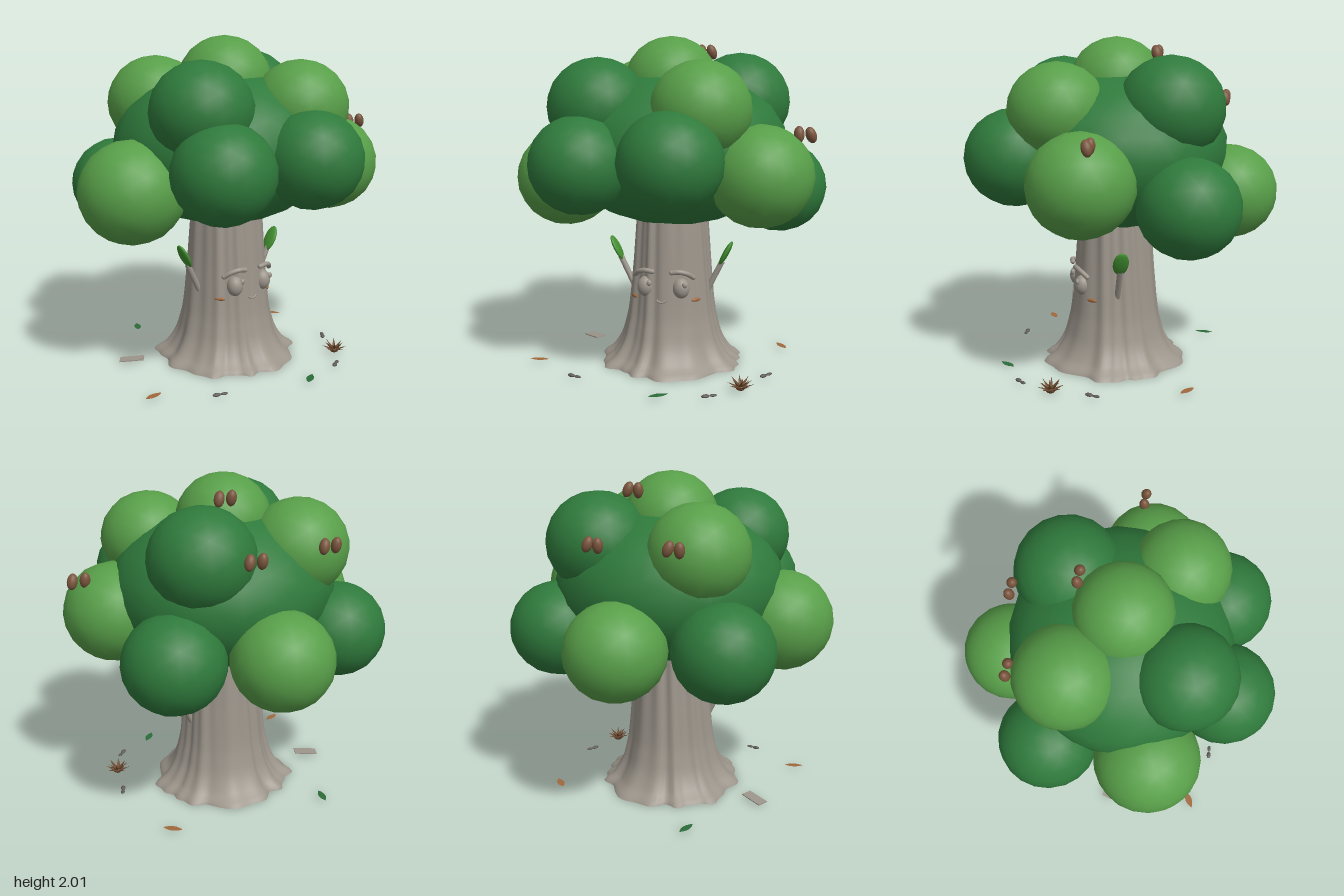
import * as THREE from 'three';

const mat = (name, color) => {
  const m = new THREE.MeshStandardMaterial({ color });
  m.name = name;
  return m;
};

export function createModel() {
  const root = new THREE.Group();
  root.name = 'tree';
  const bark = mat('bark grey', 0x9c958b);
  const darkGreen = mat('dark foliage', 0x2f7a3c);
  const lightGreen = mat('light foliage', 0x589f49);
  const leafGreen = mat('leaf green', 0x429030);
  const nutBrown = mat('nut brown', 0x7a553d);
  const rust = mat('rust', 0xa0683c);
  const coneBrown = mat('cone brown', 0x68452b);
  const stoneGrey = mat('stone grey', 0x5f5b56);
  const fallenGreen = mat('fallen green', 0x2c6b38);
  fallenGreen.side = rust.side = THREE.DoubleSide;

  const add = (parent, name, geo, material, pos = [0, 0, 0], scale = [1, 1, 1], rot = [0, 0, 0]) => {
    const m = new THREE.Mesh(geo, material);
    m.name = name;
    m.position.set(...pos);
    m.scale.set(...scale);
    m.rotation.set(...rot);
    parent.add(m);
    return m;
  };
  const ball = new THREE.SphereGeometry(1, 20, 14);
  const puff = new THREE.IcosahedronGeometry(1, 3);

  // Trunk: a cylinder flared towards the roots, with ridges down its length
  const profile = [[0, 0.43], [0.02, 0.415], [0.05, 0.37], [0.1, 0.335], [0.15, 0.31], [0.2, 0.295],
    [0.3, 0.272], [0.4, 0.26], [0.6, 0.242], [0.87, 0.222], [1.0, 0.21]];
  const radiusAt = (y) => {
    for (let i = 1; i < profile.length; i++) {
      const [y0, r0] = profile[i - 1], [y1, r1] = profile[i];
      if (y <= y1) return r0 + (r1 - r0) * (y - y0) / (y1 - y0);
    }
    return profile.at(-1)[1];
  };
  const trunkGeo = new THREE.CylinderGeometry(1, 1, 1, 120, 28).rotateY(Math.PI);
  const p = trunkGeo.attributes.position;
  for (let i = 0; i < p.count; i++) {
    const t = p.getY(i) + 0.5;
    const y = Math.pow(t, 1.6);
    const a = Math.atan2(p.getX(i), p.getZ(i));
    const flare = Math.exp(-y * 9);
    const ridge = Math.sin(11 * a + 1.5 * Math.sin(2 * a) + y) * (0.006 + 0.012 * flare)
      + Math.sin(19 * a + 2 * Math.cos(3 * a) + 2 * y) * (0.004 + 0.005 * flare)
      + Math.sin(5 * a + 0.6) * 0.014 * flare;
    const r = Math.hypot(p.getX(i), p.getZ(i)) * (radiusAt(y) + ridge);
    p.setXYZ(i, 0.035 + Math.sin(a) * r, y, 0.035 + Math.cos(a) * r);
  }
  trunkGeo.computeVertexNormals();
  add(root, 'trunk', trunkGeo, bark);

  // Foliage: a broad core with rounded clumps around it
  add(root, 'foliageCore', puff, darkGreen, [0.04, 1.34, 0.01], [0.7, 0.48, 0.66]);
  const clumps = [ // x, y, z, radius, light?
    [0.03, 1.73, 0.02, 0.285, 1], [-0.22, 1.59, -0.355, 0.3, 1], [0.41, 1.605, -0.225, 0.312, 0],
    [-0.35, 1.59, 0.29, 0.302, 0], [0.29, 1.59, 0.41, 0.29, 1],
    [-0.65, 1.13, 0.025, 0.315, 1], [0.62, 1.215, 0.325, 0.307, 1], [0.66, 1.075, -0.27, 0.298, 0],
    [0.17, 1.315, 0.645, 0.298, 0], [-0.385, 1.275, 0.53, 0.298, 0],
    [-0.4, 1.075, -0.52, 0.298, 0], [0.19, 1.075, -0.643, 0.298, 1],
  ];
  for (const [x, y, z, r, light] of clumps) {
    add(root, 'foliageClump', puff, light ? lightGreen : darkGreen, [x, y, z], [r, r * 0.965, r]);
  }

  // Pairs of nuts resting on the foliage
  const nuts = [[-0.15, 1.67, -0.66], [0.33, 1.655, -0.567], [0.205, 1.91, -0.19], [0.862, 1.455, 0.32]];
  for (const [x, y, z] of nuts) {
    for (const s of [-1, 1]) {
      add(root, 'nut', ball, nutBrown, [x + s * 0.034, y, z + s * 0.013],
        [0.03, 0.047, 0.03], [0.15 * s, 0, 0.2 + 0.15 * s]);
    }
  }

  // Face and side twigs, mirrored about the trunk axis
  for (const s of [-1, 1]) {
    const side = new THREE.Group();
    side.name = s < 0 ? 'rightSide' : 'leftSide';
    side.position.x = 0.035;
    root.add(side);
    add(side, 'eye', ball, bark, [s * 0.11, 0.51, 0.255], [0.051, 0.062, 0.048]);
    add(side, 'pupil', ball, bark, [s * 0.11 + 0.03, 0.54, 0.29], [0.016, 0.018, 0.012]);
    const browPath = new THREE.CatmullRomCurve3([[0.06, 0.612, 0.29], [0.105, 0.617, 0.287],
      [0.15, 0.603, 0.265], [0.18, 0.577, 0.235]].map(([x, y, z]) => new THREE.Vector3(s * x, y, z)));
    add(side, 'eyebrow', new THREE.TubeGeometry(browPath, 16, 0.015, 10), bark);
    for (const t of [0, 1]) {
      add(side, 'eyebrowTip', ball, bark, browPath.getPoint(t).toArray(), [0.015, 0.015, 0.015]);
    }
    add(side, 'cheek', ball, rust, [s * 0.193, 0.432, 0.208], [0.034, 0.011, 0.01], [0, s * 0.85, 0]);
    const twigPath = new THREE.LineCurve3(new THREE.Vector3(s * 0.225, 0.44, 0.06),
      new THREE.Vector3(s * 0.325, 0.645, 0.06));
    add(side, 'twig', new THREE.TubeGeometry(twigPath, 4, 0.018, 10), bark);
    add(side, 'twigLeaf', ball, leafGreen, [s * 0.347, 0.695, 0.06], [0.018, 0.084, 0.048], [0, 0, -s * 0.48]);
  }
  const smile = new THREE.QuadraticBezierCurve3(new THREE.Vector3(0.003, 0.436, 0.29),
    new THREE.Vector3(0.033, 0.412, 0.302), new THREE.Vector3(0.063, 0.436, 0.29));
  add(root, 'mouth', new THREE.TubeGeometry(smile, 12, 0.006, 8), bark);

  // Fallen leaves: flat pointed shapes on the ground
  const outline = new THREE.Shape();
  outline.moveTo(-0.06, 0);
  outline.quadraticCurveTo(0, 0.045, 0.06, 0);
  outline.quadraticCurveTo(0, -0.045, -0.06, 0);
  const leafGeo = new THREE.ShapeGeometry(outline, 6).rotateX(-Math.PI / 2);
  const fallen = [[-0.74, 0.34, 0.14, rust], [0.7, -0.266, -0.96, rust],
    [0.12, 0.72, 0.6, fallenGreen], [-0.215, -0.63, 1.1, fallenGreen]];
  for (const [x, z, turn, m] of fallen) {
    add(root, 'fallenLeaf', leafGeo, m, [x, 0.02, z], [1, 1, 1], [0, turn, 0]);
  }

  // Bark chip
  add(root, 'barkChip', new THREE.BoxGeometry(0.15, 0.006, 0.07), bark, [-0.55, 0.02, -0.18],
    [1, 1, 1], [0, -0.65, 0.08]);

  // Pebble pairs
  for (const [x, z, turn] of [[0.4, 0.66, 0.5], [0.67, 0.275, 0.9], [-0.43, 0.56, -0.3]]) {
    const pair = new THREE.Group();
    pair.name = 'pebbles';
    pair.position.set(x, 0.02, z);
    pair.rotation.y = turn;
    root.add(pair);
    add(pair, 'pebble', ball, stoneGrey, [-0.024, 0, 0], [0.024, 0.01, 0.014]);
    add(pair, 'pebble', ball, stoneGrey, [0.022, 0, 0], [0.022, 0.007, 0.012]);
  }

  // Open cone: two rings of pointed scales
  const cone = new THREE.Group();
  cone.name = 'openCone';
  cone.position.set(0.55, 0.015, 0.5);
  root.add(cone);
  const scaleGeo = new THREE.ConeGeometry(0.018, 0.085, 6).translate(0, 0.042, 0);
  for (const [count, tilt, offset] of [[8, 1.2, 0], [6, 0.75, 0.3]]) {
    for (let i = 0; i < count; i++) {
      const arm = new THREE.Group();
      arm.name = 'coneScaleArm';
      arm.rotation.y = offset + i / count * Math.PI * 2;
      cone.add(arm);
      add(arm, 'coneScale', scaleGeo, coneBrown, [0, 0, 0], [1, 1, 0.4], [tilt, 0, 0]);
    }
  }
  add(cone, 'coneHeart', ball, coneBrown, [0, 0.005, 0], [0.028, 0.018, 0.028]);
  return root;
}
